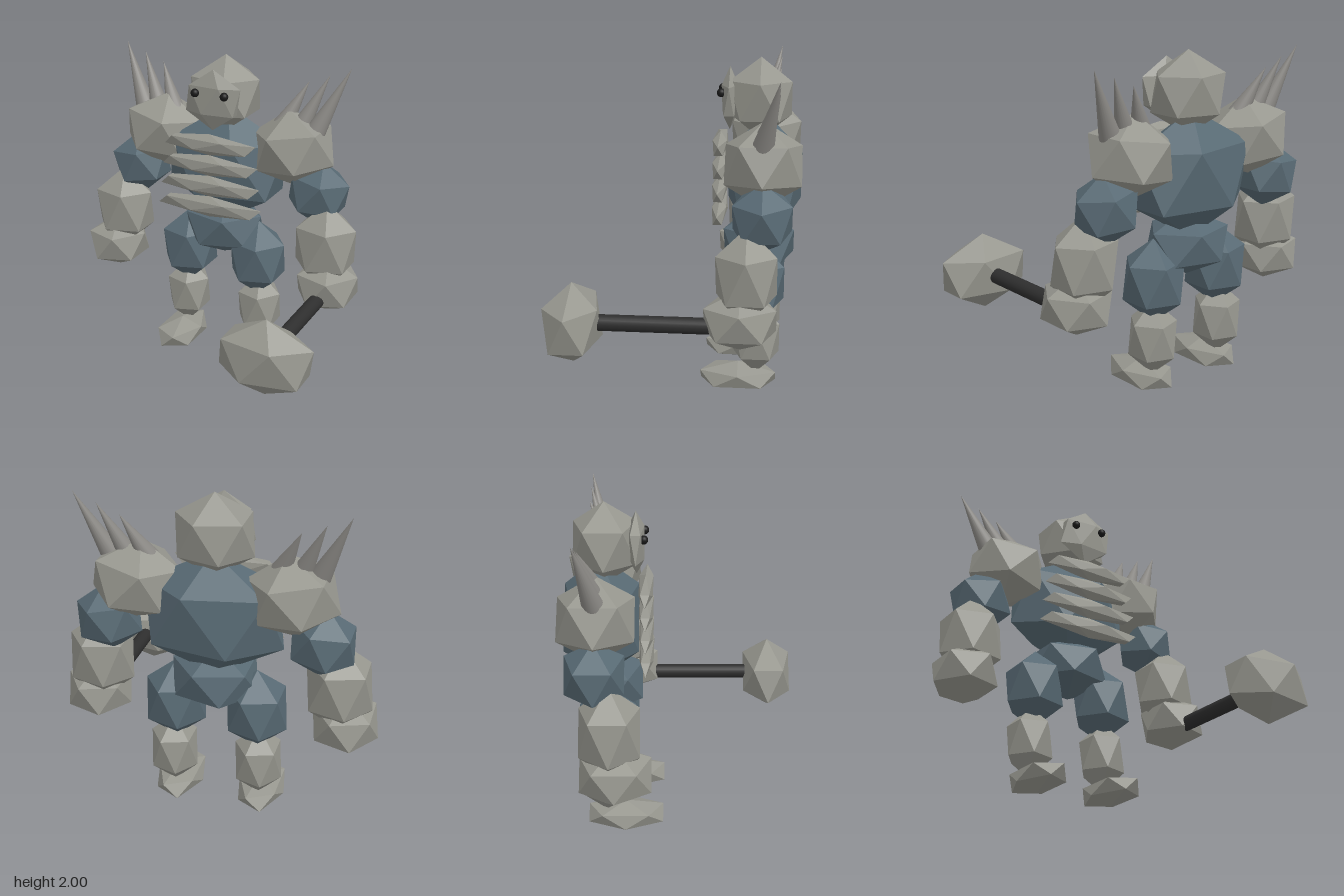
import * as THREE from 'three';
import { ConvexGeometry } from 'three/addons/geometries/ConvexGeometry.js';

const stone = new THREE.MeshStandardMaterial({ color: 0x97978f });
const slate = new THREE.MeshStandardMaterial({ color: 0x586a74 });
const horn = new THREE.MeshStandardMaterial({ color: 0x8b8985 });
const iron = new THREE.MeshStandardMaterial({ color: 0x2e2e2e });
const black = new THREE.MeshStandardMaterial({ color: 0x1a1a1a });
stone.name = 'stone';
slate.name = 'slate';
horn.name = 'horn';
iron.name = 'iron';
black.name = 'black';

// Twenty-sided boulder with its poles on the y axis
function boulderGeometry(flip) {
  const points = [new THREE.Vector3(0, 1, 0), new THREE.Vector3(0, -1, 0)];
  const r = 2 / Math.sqrt(5);
  for (let i = 0; i < 5; i++) {
    const a = (i * 2 * Math.PI) / 5;
    points.push(new THREE.Vector3(flip * r * Math.cos(a), r / 2, r * Math.sin(a)));
    points.push(new THREE.Vector3(-flip * r * Math.cos(a), -r / 2, r * Math.sin(a)));
  }
  return new ConvexGeometry(points);
}

export function createModel() {
  const model = new THREE.Group();
  model.name = 'stoneGolem';
  const plain = boulderGeometry(1);
  const flipped = boulderGeometry(-1);
  const midX = -0.045;

  function add(name, geometry, material, pos, scale = [1, 1, 1], tilt = 0) {
    const mesh = new THREE.Mesh(geometry, material);
    mesh.name = name;
    mesh.position.set(...pos);
    mesh.scale.set(...scale);
    mesh.rotation.z = tilt;
    model.add(mesh);
    return mesh;
  }

  // Round part running between two points
  function rod(name, material, from, to, rTop, rBottom) {
    const a = new THREE.Vector3(...from);
    const b = new THREE.Vector3(...to);
    const d = b.clone().sub(a);
    const mesh = add(name, new THREE.CylinderGeometry(rTop, rBottom, d.length(), 20), material,
      a.clone().add(b).multiplyScalar(0.5).toArray());
    mesh.quaternion.setFromUnitVectors(new THREE.Vector3(0, 1, 0), d.normalize());
  }

  // Trunk and head
  add('torso', plain, slate, [midX, 1.29, -0.487], [0.455, 0.38, 0.262]);
  add('pelvis', plain, slate, [midX, 0.88, -0.46], [0.287, 0.2, 0.25]);
  add('head', plain, stone, [midX, 1.756, -0.455], [0.253, 0.244, 0.218]);
  add('face', plain, stone, [midX, 1.755, -0.273], [0.205, 0.19, 0.056]);

  // Ribs, widening downwards
  for (let i = 0; i < 4; i++) {
    add('rib', plain, stone, [midX + 0.005, 1.487 - i * 0.135, -0.22], [0.345 + i * 0.018, 0.068, 0.05]);
  }

  for (const s of [1, -1]) {
    const side = s > 0 ? 'left' : 'right';
    const x = (offset) => midX + s * offset;

    // Eye
    add(side + 'Eye', new THREE.SphereGeometry(0.026, 16, 12), black, [x(0.098), 1.8, -0.226]);

    // Arm
    add(side + 'Shoulder', s > 0 ? flipped : plain, stone, [x(0.45), 1.455, -0.487],
      [0.285, 0.245, 0.255], s * 0.14);
    add(side + 'UpperArm', plain, slate, [x(0.627), 1.195, -0.49], [0.21, 0.205, 0.195], -s * 0.12);
    add(side + 'Forearm', plain, stone, [x(0.717), 0.887, -0.41], [0.217, 0.28, 0.2]);
    add(side + 'Hand', plain, stone, [x(0.755), 0.643, -0.38], [0.217, 0.178, 0.237]);

    // Shoulder spikes: base x, base y, tip x, tip y
    for (const [bx, by, tx, ty] of [[0.59, 1.58, 0.77, 1.975], [0.485, 1.58, 0.637, 1.92], [0.375, 1.59, 0.505, 1.865]]) {
      rod(side + 'ShoulderSpike', horn, [x(bx), by, -0.485], [x(tx), ty, -0.576], 0, 0.063);
    }

    // Leg
    add(side + 'Thigh', plain, slate, [x(0.245), 0.69, -0.45], [0.202, 0.255, 0.2]);
    add(side + 'Shin', plain, stone, [x(0.26), 0.345, -0.46], [0.157, 0.23, 0.163]);
    add(side + 'Foot', plain, stone, [x(0.257), 0.093, -0.353], [0.155, 0.09, 0.268]);
  }

  // Hammer held forward in the left hand
  rod('hammerHandle', iron, [0.706, 0.597, -0.36], [0.706, 0.597, 0.5], 0.047, 0.047);
  add('hammerHead', plain, stone, [0.705, 0.595, 0.563], [0.32, 0.237, 0.184]);

  return model;
}
